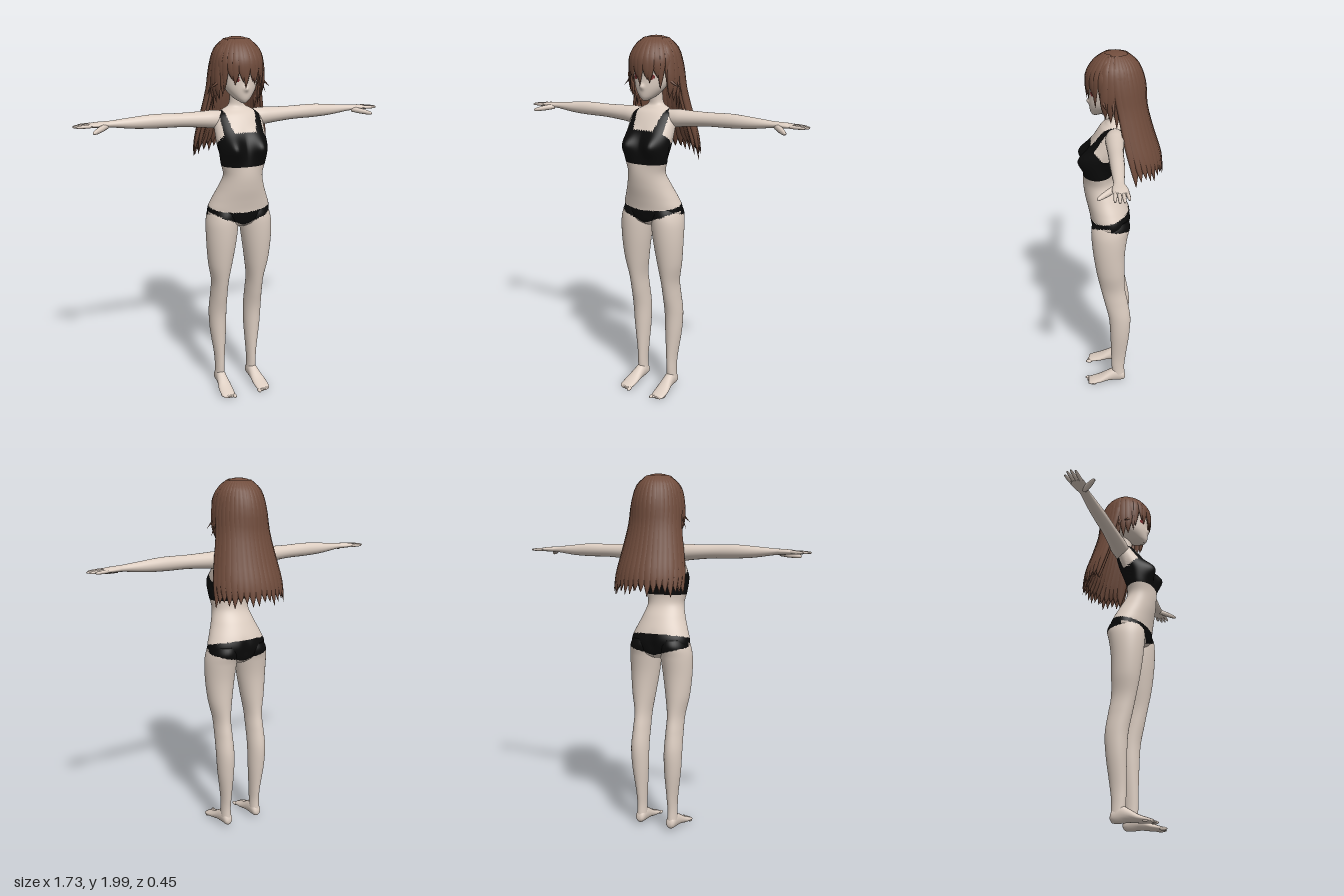
import * as THREE from 'three';

const V = (x, y, z) => new THREE.Vector3(x, y, z);
const mat = (name, color, side = THREE.FrontSide) => {
  const m = new THREE.MeshStandardMaterial({ color, side });
  m.name = name;
  return m;
};
const gauss = (d, w) => Math.exp(-((d / w) ** 2));

// Smooth interpolation of a short table of cross-sections
function spline(rows, n) {
  const at = i => rows[Math.min(rows.length - 1, Math.max(0, i))];
  return Array.from({ length: n + 1 }, (_, k) => {
    const f = (k / n) * (rows.length - 1), i = Math.min(rows.length - 2, Math.floor(f)), t = f - i;
    return rows[0].map((_, c) => {
      const [a, b, d, e] = [at(i - 1)[c], at(i)[c], at(i + 1)[c], at(i + 2)[c]];
      return b + 0.5 * t * (d - a + t * (2 * a - 5 * b + 4 * d - e + t * (3 * (b - d) + e - a)));
    });
  });
}

// Ring around a centre; u x v must point along the loft
const ring = (c, u, v, n) => Array.from({ length: n }, (_, j) => {
  const a = (j / n) * Math.PI * 2;
  return c.clone().addScaledVector(u, Math.cos(a)).addScaledVector(v, Math.sin(a));
});

// Closed skin over rings; rule(centroid) gives a material index, or -1 for a hole
function loft(rings, rule = () => 0) {
  const n = rings[0].length, last = rings.length - 1, pts = rings.flat(), buckets = [];
  const mid = r => r.reduce((s, p) => s.add(p), V(0, 0, 0)).divideScalar(n);
  const c0 = pts.push(mid(rings[0])) - 1, c1 = pts.push(mid(rings[last])) - 1;
  const tri = (a, b, c) => {
    const m = rule(V(0, 0, 0).add(pts[a]).add(pts[b]).add(pts[c]).divideScalar(3));
    if (m >= 0) (buckets[m] ??= []).push(a, b, c);
  };
  for (let j = 0; j < n; j++) {
    const k = (j + 1) % n;
    for (let i = 0; i < last; i++) {
      const a = i * n + j, b = i * n + k;
      tri(a, b, a + n);
      tri(b, b + n, a + n);
    }
    tri(c0, k, j);
    tri(c1, last * n + j, last * n + k);
  }
  const g = new THREE.BufferGeometry().setFromPoints(pts), index = [];
  buckets.forEach((b, m) => {
    g.addGroup(index.length, b.length, m);
    for (const i of b) index.push(i);
  });
  g.setIndex(index);
  g.computeVertexNormals();
  return g;
}

function mirrored(geo) {
  const g = geo.clone().scale(-1, 1, 1), ix = g.index.array;
  for (let i = 0; i < ix.length; i += 3) [ix[i], ix[i + 1]] = [ix[i + 1], ix[i]];
  g.computeVertexNormals();
  return g;
}

// Upright ring from [y, centreX, halfWidth, zFront, zBack]
const upright = ([y, x, w, f, b], n) => ring(V(x, y, (f + b) / 2), V(0, 0, (f - b) / 2), V(w, 0, 0), n);

// Where the cropped top and briefs cover the skin
function clothing(p) {
  const x = Math.abs(p.x), { y, z } = p;
  if (y < 1.2) {
    const low = 1.01 + x * (z > 0.06 ? 0.42 : 0.28);
    return y < 1.125 - 0.22 * z && y > low ? 1 : 0;
  }
  if (y < 1.34 || y > 1.625) return 0;
  const neckline = y > 1.515 && x < 0.062 + 0.22 * (y - 1.515);
  const armhole = x > 0.112 && y > 1.45 + 10 * (z - 0.07) ** 2;
  return neckline || armhole || (y > 1.54 && x > 0.113) ? 0 : 1;
}

export function createModel() {
  const model = new THREE.Group();
  model.name = 'figure';
  const skin = mat('skin', 0xdccdc1), cloth = mat('black cloth', 0x0a0a0a);
  const hair = mat('brown hair', 0x704c3c, THREE.DoubleSide), iris = mat('eye red', 0x7a3030);
  const add = (name, geo, m, parent = model) => {
    const mesh = new THREE.Mesh(geo, m);
    mesh.name = name;
    parent.add(mesh);
  };
  const pair = (name, geo, m) => {
    add('left' + name, geo, m);
    add('right' + name, mirrored(geo), m);
  };

  // Torso and neck
  const torso = spline([
    [0.995, 0, 0.05, 0.12, 0.0], [1.02, 0, 0.12, 0.155, -0.03], [1.06, 0, 0.17, 0.167, -0.046],
    [1.1, 0, 0.174, 0.172, -0.05], [1.15, 0, 0.155, 0.182, -0.035], [1.22, 0, 0.126, 0.197, 0.0],
    [1.29, 0, 0.108, 0.205, 0.04], [1.36, 0, 0.125, 0.202, 0.045], [1.43, 0, 0.134, 0.19, 0.025],
    [1.5, 0, 0.137, 0.165, 0.0], [1.56, 0, 0.135, 0.135, -0.015], [1.6, 0, 0.12, 0.108, -0.015],
    [1.625, 0, 0.075, 0.08, -0.01], [1.65, 0, 0.04, 0.065, -0.005], [1.72, 0, 0.036, 0.07, 0.0],
  ], 110).map(r => upright(r, 80));
  for (const p of torso.flat()) {
    if (p.z > 0.08) p.z += 0.055 * gauss(p.y - 1.44, 0.06) * gauss(Math.abs(p.x) - 0.08, 0.05);
    if (p.z < 0.02) p.z += 0.015 * gauss(p.y - 1.07, 0.05) * gauss(p.x, 0.025);
  }
  add('torso', loft(torso, clothing), [skin, cloth]);

  // Legs
  const leg = spline([
    [0.05, 0.1, 0.028, 0.055, -0.018], [0.12, 0.1, 0.026, 0.06, -0.016], [0.2, 0.1, 0.03, 0.062, -0.025],
    [0.35, 0.105, 0.045, 0.066, -0.044], [0.47, 0.107, 0.049, 0.074, -0.05], [0.58, 0.106, 0.046, 0.098, -0.034],
    [0.67, 0.106, 0.047, 0.118, -0.018], [0.78, 0.108, 0.066, 0.14, -0.015], [0.9, 0.104, 0.081, 0.157, -0.018],
    [1.0, 0.098, 0.088, 0.165, -0.032], [1.06, 0.092, 0.084, 0.163, -0.046], [1.1, 0.085, 0.075, 0.15, -0.035],
  ], 90).map(r => upright(r, 40));
  pair('Leg', loft(leg, clothing), [skin, cloth]);

  // Feet from heel to toe: [z, centreX, halfWidth, yBottom, yTop]
  const foot = spline([
    [-0.021, 0.1, 0.012, 0.03, 0.05], [-0.008, 0.1, 0.026, 0.014, 0.08], [0.035, 0.1, 0.029, 0.01, 0.1],
    [0.08, 0.102, 0.033, 0.012, 0.078], [0.13, 0.106, 0.04, 0.006, 0.048], [0.18, 0.108, 0.039, 0.002, 0.028],
    [0.2, 0.105, 0.033, 0.002, 0.02],
  ], 20).map(([z, x, w, b, t]) => ring(V(x, (b + t) / 2, z), V(w, 0, 0), V(0, (t - b) / 2, 0), 20));
  pair('Foot', loft(foot), skin);
  for (let i = 0; i < 5; i++) {
    const toe = new THREE.SphereGeometry(i ? 0.008 : 0.011, 10, 8);
    toe.scale(1, 0.85, 1.9).translate(0.077 + i * 0.0155, 0.0095, 0.199 - i * i * 0.0018);
    pair('Toe' + (i + 1), toe, skin);
  }

  // Arms and palms: [x, y, halfHeight, z, halfDepth]
  const arm = spline([
    [0.08, 1.572, 0.045, 0.035, 0.045], [0.14, 1.575, 0.047, 0.036, 0.05], [0.2, 1.578, 0.042, 0.037, 0.046],
    [0.32, 1.582, 0.036, 0.036, 0.039], [0.45, 1.584, 0.036, 0.033, 0.036], [0.56, 1.583, 0.029, 0.031, 0.031],
    [0.67, 1.585, 0.017, 0.03, 0.025], [0.71, 1.585, 0.015, 0.028, 0.032], [0.75, 1.585, 0.013, 0.025, 0.037],
    [0.785, 1.584, 0.009, 0.022, 0.034],
  ], 50).map(([x, y, h, z, d]) => ring(V(x, y, z), V(0, h, 0), V(0, 0, d), 24));
  pair('Arm', loft(arm), skin);

  // Fingers and thumb
  const digit = (name, from, to, r) => {
    const dir = to.clone().sub(from).normalize(), u = V(0, 1, 0).addScaledVector(dir, -dir.y).normalize();
    const v = dir.clone().cross(u);
    const rings = [[0, 1], [0.4, 1], [0.75, 0.8], [0.94, 0.55], [1, 0.15]].map(([t, s]) =>
      ring(from.clone().lerp(to, t), u.clone().multiplyScalar(r * s), v.clone().multiplyScalar(r * s), 10));
    pair(name, loft(rings), skin);
  };
  [0.835, 0.858, 0.864, 0.852].forEach((x, i) =>
    digit('Finger' + (i + 1), V(0.77, 1.584, -0.004 + i * 0.0175), V(x, 1.582, -0.012 + i * 0.021), 0.009));
  digit('Thumb', V(0.7, 1.578, 0.042), V(0.782, 1.56, 0.126), 0.015);

  // Head with a small nose
  const head = spline([
    [1.667, 0, 0.012, 0.148, 0.115], [1.69, 0, 0.045, 0.16, 0.05], [1.73, 0, 0.077, 0.164, 0.0],
    [1.78, 0, 0.097, 0.163, -0.05], [1.84, 0, 0.104, 0.163, -0.075], [1.91, 0, 0.093, 0.143, -0.065],
    [1.96, 0, 0.055, 0.1, -0.025], [1.975, 0, 0.01, 0.05, 0.02],
  ], 60).map(r => upright(r, 64));
  for (const p of head.flat()) if (p.z > 0.1) p.z += 0.014 * gauss(p.y - 1.74, 0.014) * gauss(p.x, 0.012);
  const eyes = p => p.z > 0.08 && ((Math.abs(p.x) - 0.047) / 0.014) ** 2 + ((p.y - 1.79) / 0.014) ** 2 < 1 ? 1 : 0;
  add('head', loft(head, eyes), [skin, iris]);

  // Hair cap, open over the face
  const capRows = spline([
    [1.7, 0, 0.112, 0.09, -0.105], [1.78, 0, 0.126, 0.16, -0.108], [1.85, 0, 0.127, 0.174, -0.106],
    [1.92, 0, 0.112, 0.155, -0.085], [1.97, 0, 0.076, 0.11, -0.045], [1.989, 0, 0.04, 0.07, -0.01],
    [1.994, 0, 0.004, 0.035, 0.025],
  ], 40);
  const hairGroup = new THREE.Group();
  hairGroup.name = 'hair';
  model.add(hairGroup);
  const opening = p => p.y < 1.705 || (p.z > 0.06 && p.y < 1.83) || (p.z > 0.02 && p.y < 1.75) ? -1 : 0;
  add('hairCap', loft(capRows.map(r => upright(r, 48)), opening), [hair], hairGroup);
  const onCap = (y, phi, out = 1.03) => {
    const r = capRows.reduce((a, b) => (Math.abs(b[0] - Math.max(y, 1.83)) < Math.abs(a[0] - Math.max(y, 1.83)) ? b : a));
    return V(r[2] * out * Math.sin(phi), y, (r[3] + r[4]) / 2 + ((r[3] - r[4]) / 2) * out * Math.cos(phi));
  };

  // Flat pointed lock along a path
  const lock = (name, points, width, thick, full = 0.55) => {
    const curve = new THREE.CatmullRomCurve3(points), rings = [];
    for (let i = 0; i <= 18; i++) {
      const t = i / 18, p = curve.getPoint(t), dir = curve.getTangent(t);
      const out = V(p.x, 0.02, p.z - 0.03).addScaledVector(dir, -dir.dot(V(p.x, 0.02, p.z - 0.03))).normalize();
      const s = Math.max(0.03, t < full ? 0.35 + 0.65 * Math.sin((t / full) * Math.PI / 2) : 1 - ((t - full) / (1 - full)) ** 2);
      rings.push(ring(p, out.clone().multiplyScalar(thick * s), dir.cross(out).multiplyScalar(width * s), 8));
    }
    add(name, loft(rings), hair, hairGroup);
  };

  // Fringe
  for (let i = -5; i <= 5; i++) {
    const phi = i * 0.21, end = [1.745, 1.775, 1.76, 1.785, 1.73, 1.7][Math.abs(i)], drift = i % 2 ? 0.07 : -0.05;
    lock('fringeLock', [onCap(1.985, phi), onCap(1.95, phi), onCap(1.89, phi), onCap(1.83, phi + drift / 2),
      onCap(end, phi + drift, 1.0)], 0.023, 0.008, 0.6);
  }

  // Side locks and wisps
  for (const s of [-1, 1]) {
    [[1.2, 1.68], [1.4, 1.66], [1.62, 1.63], [1.85, 1.6]].forEach(([a, end]) =>
      lock('sideLock', [onCap(1.98, s * a), onCap(1.92, s * a), onCap(1.82, s * a, 1.05), onCap(1.74, s * a, 1.05),
        onCap(end, s * a, 0.95)], 0.026, 0.01, 0.5));
    [[1.15, 1.735, 0.172], [1.5, 1.7, 0.165]].forEach(([a, y, x]) =>
      lock('wisp', [onCap(1.86, s * a), onCap(1.78, s * a, 1.06), V(s * x, y, 0.075 - (a - 1.15) * 0.1)], 0.01, 0.005, 0.3));
  }

  // Long back hair fanning outward in two layers
  const fall = [[1.72, 0.143, 0.005, 0.128], [1.58, 0.168, -0.022, 0.137], [1.46, 0.192, -0.045, 0.155]];
  for (const [count, k] of [[19, 1], [16, 0.88]]) {
    for (let i = 0; i < count; i++) {
      const phi = Math.PI * (0.53 + 0.94 * (i / (count - 1)));
      const end = 1.345 + 0.035 * Math.abs(Math.sin(i * 2.3)) + (k < 1 ? 0.02 : 0);
      const path = [onCap(1.98, phi, k), onCap(1.93, phi, 1.03 * k), onCap(1.84, phi, 1.05 * k)];
      for (const [y, rx, zc, rz] of [...fall, [end, 0.208, -0.055, 0.165]])
        path.push(V(rx * k * Math.sin(phi), y, zc + rz * k * Math.cos(phi)));
      lock('backLock', path, 0.032, 0.013, 0.72);
    }
  }
  return model;
}
